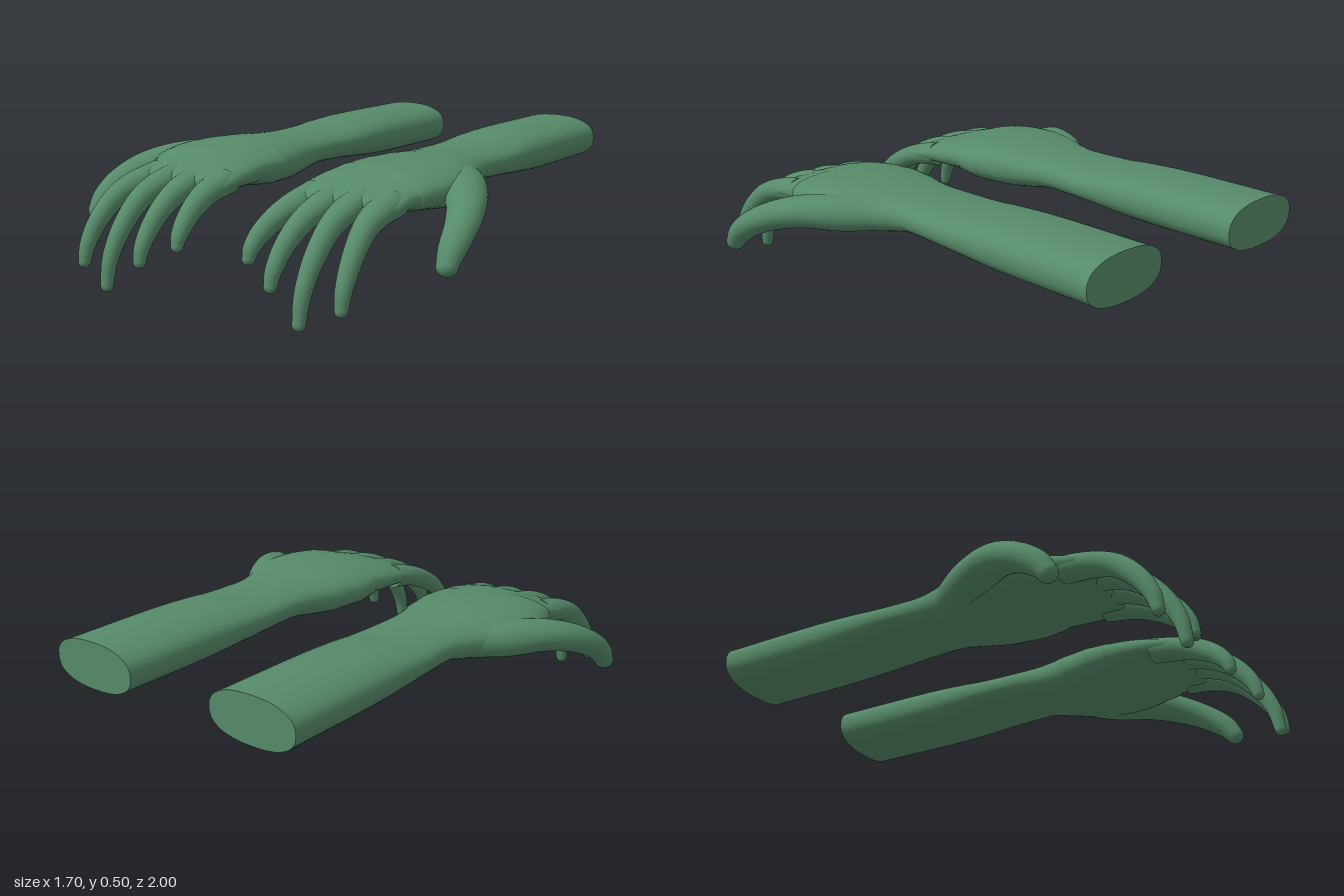
import * as THREE from 'three';

const SIDES = 40;
const skin = new THREE.MeshStandardMaterial({ color: 0x568a69, roughness: 0.8 });

// Sweeps a rounded oval along a smooth path.
// Each station is [x, y, z, half width, half height]; the far end is rounded off.
function loft(name, stations, { sign = 1, power = 2, steps = 5, tip = 0.03 } = {}) {
  const path = new THREE.CatmullRomCurve3(
    stations.map(([x, y, z]) => new THREE.Vector3(x * sign, y, z)), false, 'catmullrom');
  const sizes = new THREE.CatmullRomCurve3(
    stations.map(([, , , w, h]) => new THREE.Vector3(w, h, 0)), false, 'catmullrom');
  const positions = [];
  const index = [];

  const addRing = (center, tangent, w, h) => {
    const side = new THREE.Vector3(1, 0, 0).addScaledVector(tangent, -tangent.x).normalize();
    const up = new THREE.Vector3().crossVectors(tangent, side);
    for (let i = 0; i < SIDES; i++) {
      const a = (i / SIDES) * Math.PI * 2;
      const c = Math.cos(a), s = Math.sin(a);
      const p = center.clone()
        .addScaledVector(side, Math.sign(c) * Math.abs(c) ** (2 / power) * w)
        .addScaledVector(up, Math.sign(s) * Math.abs(s) ** (2 / power) * h);
      positions.push(p.x, p.y, p.z);
    }
  };

  // Main run
  const count = (stations.length - 1) * steps;
  for (let j = 0; j <= count; j++) {
    const size = sizes.getPoint(j / count);
    addRing(path.getPoint(j / count), path.getTangent(j / count), size.x, size.y);
  }
  // Rounded tip
  const end = path.getPoint(1), dir = path.getTangent(1), last = sizes.getPoint(1);
  const tipRings = 6;
  for (let k = 1; k <= tipRings; k++) {
    const a = (k / tipRings) * Math.PI * 0.495;
    addRing(end.clone().addScaledVector(dir, tip * Math.sin(a)), dir,
      last.x * Math.cos(a), last.y * Math.cos(a));
  }
  // Skin between neighbouring rings
  const rings = count + 1 + tipRings;
  for (let j = 0; j < rings - 1; j++) {
    for (let i = 0; i < SIDES; i++) {
      const a = j * SIDES + i, b = j * SIDES + ((i + 1) % SIDES);
      index.push(a, b, b + SIDES, a, b + SIDES, a + SIDES);
    }
  }
  // Flat cap at the start, with its own corners for a sharp edge
  const capStart = positions.length / 3;
  positions.push(...positions.slice(0, SIDES * 3));
  for (let i = 1; i < SIDES - 1; i++) index.push(capStart, capStart + i + 1, capStart + i);

  const geometry = new THREE.BufferGeometry();
  geometry.setAttribute('position', new THREE.Float32BufferAttribute(positions, 3));
  geometry.setIndex(index);
  geometry.computeVertexNormals();
  const mesh = new THREE.Mesh(geometry, skin);
  mesh.name = name;
  return mesh;
}

// Forearm, wrist and palm: [z, inner x, outer x, bottom y, top y]
const armOutline = [
  [-1, 0.19, 0.572, 0.312, 0.497],
  [-0.6, 0.19, 0.572, 0.312, 0.496],
  [-0.4, 0.191, 0.57, 0.322, 0.487],
  [-0.25, 0.194, 0.566, 0.333, 0.474],
  [-0.07, 0.2, 0.56, 0.335, 0.472],
  [0.05, 0.185, 0.59, 0.315, 0.475],
  [0.15, 0.158, 0.635, 0.302, 0.48],
  [0.28, 0.138, 0.675, 0.302, 0.48],
  [0.4, 0.136, 0.655, 0.315, 0.472],
  [0.48, 0.138, 0.622, 0.322, 0.456],
  [0.57, 0.141, 0.608, 0.325, 0.432],
  [0.645, 0.145, 0.605, 0.323, 0.406],
];
const armStations = armOutline.map(([z, x0, x1, y0, y1]) =>
  [(x0 + x1) / 2, (y0 + y1) / 2, z, (x1 - x0) / 2, (y1 - y0) / 2]);

const thumbStations = [
  [0.52, 0.39, 0.03, 0.045, 0.05],
  [0.61, 0.385, 0.19, 0.075, 0.068],
  [0.685, 0.38, 0.32, 0.078, 0.064],
  [0.748, 0.355, 0.43, 0.07, 0.058],
  [0.786, 0.31, 0.53, 0.06, 0.052],
  [0.8, 0.255, 0.61, 0.05, 0.046],
  [0.804, 0.205, 0.65, 0.039, 0.037],
];

// Fingers: [x, y, z] along each bone line, from inside the palm to the tip
const fingers = {
  indexFinger: [[0.54, 0.372, 0.57], [0.548, 0.352, 0.69], [0.562, 0.31, 0.79],
    [0.575, 0.23, 0.875], [0.581, 0.15, 0.925], [0.583, 0.088, 0.942]],
  middleFinger: [[0.43, 0.38, 0.57], [0.431, 0.36, 0.69], [0.434, 0.312, 0.8],
    [0.436, 0.22, 0.895], [0.437, 0.12, 0.955], [0.437, 0.025, 0.976]],
  ringFinger: [[0.32, 0.378, 0.57], [0.316, 0.357, 0.69], [0.308, 0.315, 0.79],
    [0.302, 0.25, 0.875], [0.299, 0.18, 0.93], [0.298, 0.127, 0.948]],
  littleFinger: [[0.208, 0.372, 0.57], [0.2, 0.35, 0.68], [0.185, 0.315, 0.77],
    [0.172, 0.27, 0.84], [0.165, 0.225, 0.882], [0.163, 0.193, 0.895]],
};
const fingerWidths = [0.06, 0.055, 0.043, 0.036, 0.03, 0.024];
const fingerHeights = [0.05, 0.045, 0.042, 0.037, 0.03, 0.023];

function buildHand(name, sign) {
  const hand = new THREE.Group();
  hand.name = name;
  hand.add(loft('forearmAndPalm', armStations, { sign, power: 2.4, tip: 0.035 }));
  hand.add(loft('thumb', thumbStations, { sign, tip: 0.036 }));
  for (const [finger, points] of Object.entries(fingers)) {
    const stations = points.map((p, i) => [...p, fingerWidths[i], fingerHeights[i]]);
    hand.add(loft(finger, stations, { sign, tip: 0.025 }));
  }
  return hand;
}

export function createModel() {
  const model = new THREE.Group();
  model.name = 'pairOfHands';
  model.add(buildHand('leftHand', 1), buildHand('rightHand', -1));
  return model;
}
